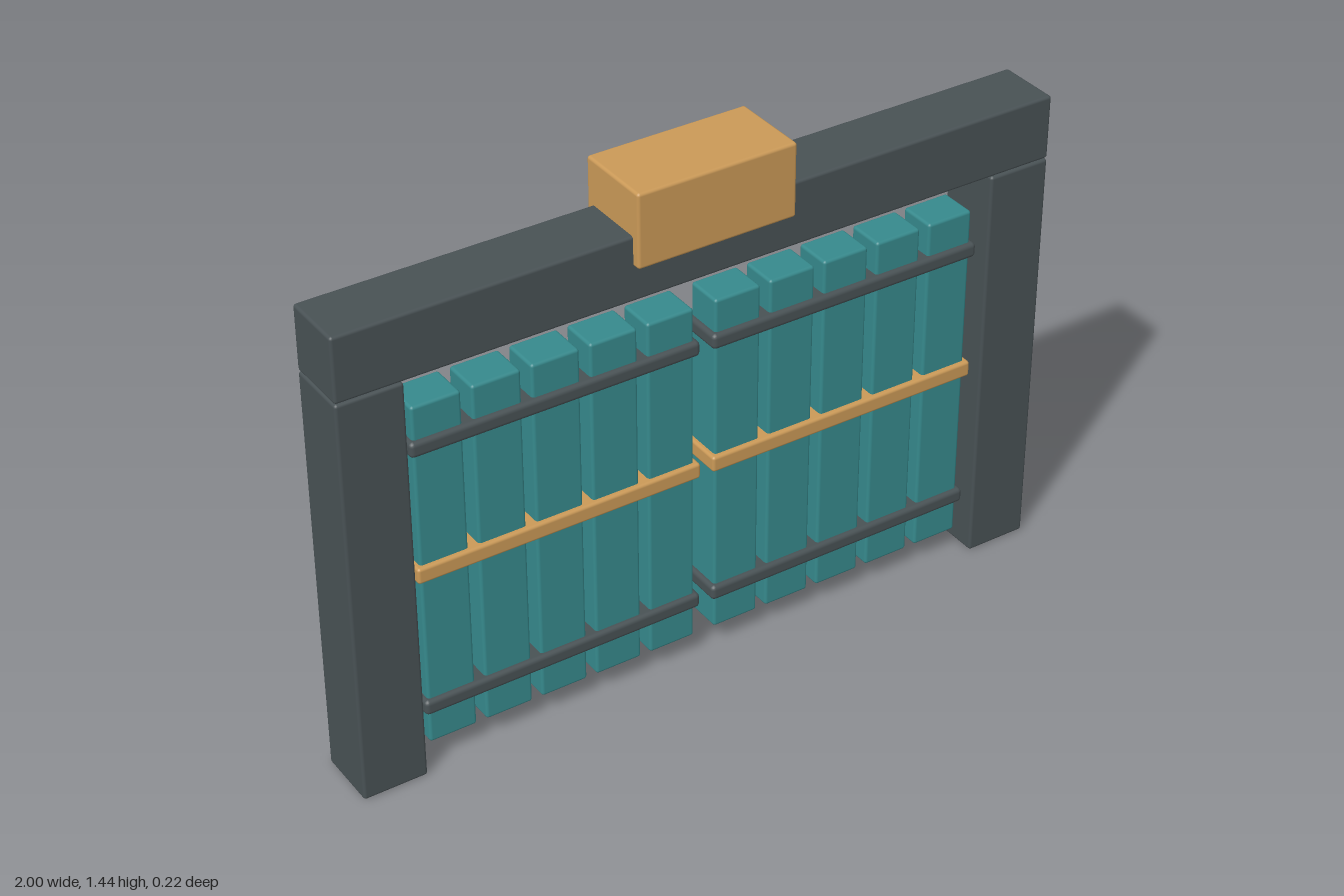
import * as THREE from 'three';
import { RoundedBoxGeometry } from 'three/addons/geometries/RoundedBoxGeometry.js';

const material = (name, color) => {
  const m = new THREE.MeshStandardMaterial({ color });
  m.name = name;
  return m;
};

export function createModel() {
  const slate = material('slate', 0x485154);
  const teal = material('teal', 0x36898c);
  const gold = material('gold', 0xca9957);

  // Softly bevelled box, placed by its centre
  const box = (parent, name, mat, [w, h, d], [x, y, z], bevel = 0.008) => {
    const mesh = new THREE.Mesh(new RoundedBoxGeometry(w, h, d, 2, bevel), mat);
    mesh.name = name;
    mesh.position.set(x, y, z);
    parent.add(mesh);
    return mesh;
  };

  const gate = new THREE.Group();
  gate.name = 'gate';

  // Frame: lintel with a block straddling its middle
  box(gate, 'lintel', slate, [2, 0.175, 0.175], [0, 1.23, 0]);
  box(gate, 'lintelBlock', gold, [0.44, 0.2, 0.22], [0, 1.338, 0]);

  for (const [side, s] of [['left', 1], ['right', -1]]) {
    box(gate, side + 'Post', slate, [0.175, 1.14, 0.175], [s * 0.9125, 0.57, 0]);

    // Gate leaf: five slats threaded by three rails
    const leaf = new THREE.Group();
    leaf.name = side + 'Leaf';
    leaf.position.x = s * 0.413;
    gate.add(leaf);
    for (let i = 0; i < 5; i++) {
      box(leaf, 'slat', teal, [0.131, 0.978, 0.105], [(i - 2) * 0.1585, 0.551, 0]);
    }
    box(leaf, 'lowerRail', slate, [0.79, 0.042, 0.131], [0, 0.176, 0], 0.012);
    box(leaf, 'middleRail', gold, [0.79, 0.044, 0.131], [0, 0.574, 0], 0.008);
    box(leaf, 'upperRail', slate, [0.79, 0.042, 0.131], [0, 0.929, 0], 0.012);
  }
  return gate;
}
